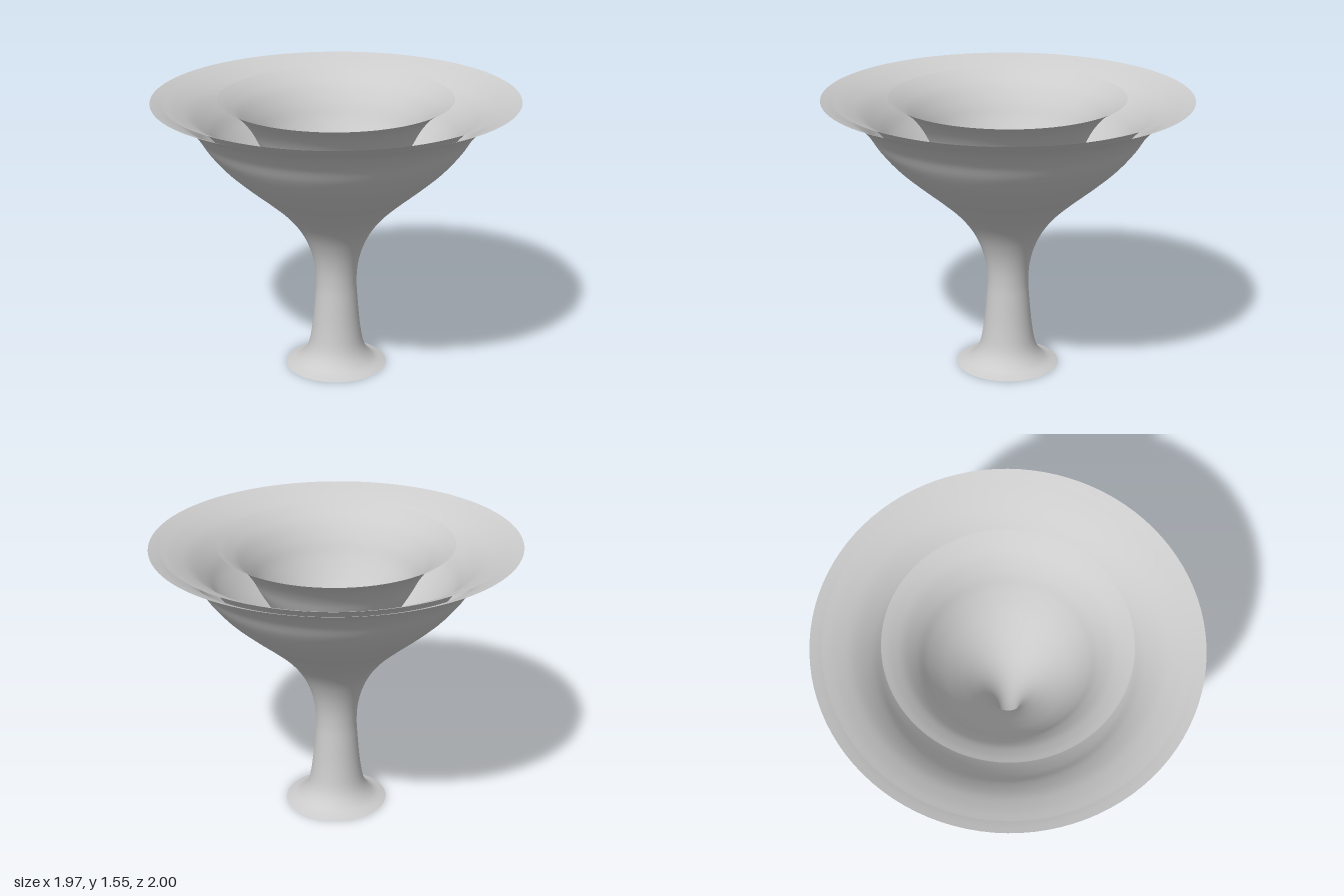
import * as THREE from 'three';

// Outer profile as [radius, height], from foot to rim
const PROFILE = [
  [0.285, 0], [0.215, 0.03], [0.162, 0.1], [0.137, 0.22], [0.12, 0.4], [0.115, 0.5],
  [0.123, 0.6], [0.15, 0.7], [0.2, 0.8], [0.28, 0.9], [0.39, 1.0], [0.51, 1.1],
  [0.62, 1.2], [0.705, 1.3], [0.765, 1.39], [0.845, 1.47], [0.93, 1.52], [1.0, 1.55],
];

// Open flared shell; its radii shrink by a factor that blends from foot to rim
function flaredShell(name, footScale, waistScale, rimScale) {
  const points = PROFILE.map(([r, y]) => {
    const k = y < 0.5
      ? THREE.MathUtils.lerp(footScale, waistScale, y / 0.5)
      : THREE.MathUtils.lerp(waistScale, rimScale, (y - 0.5) / 1.05);
    return new THREE.Vector2(r * k, y);
  });
  const curve = new THREE.SplineCurve(points);
  const geometry = new THREE.LatheGeometry(curve.getPoints(85), 96);
  const material = new THREE.MeshStandardMaterial({ color: 0xcccccc, side: THREE.DoubleSide });
  const mesh = new THREE.Mesh(geometry, material);
  mesh.name = name;
  mesh.scale.x = 0.985; // slightly oval plan
  return mesh;
}

export function createModel() {
  const group = new THREE.Group();
  group.name = 'nestedGoblet';
  // Three nested shells, all open at foot and rim
  group.add(
    flaredShell('outerShell', 1, 1, 1),
    flaredShell('middleShell', 0.64, 0.75, 0.94),
    flaredShell('innerShell', 0.475, 0.43, 0.64),
  );
  return group;
}
